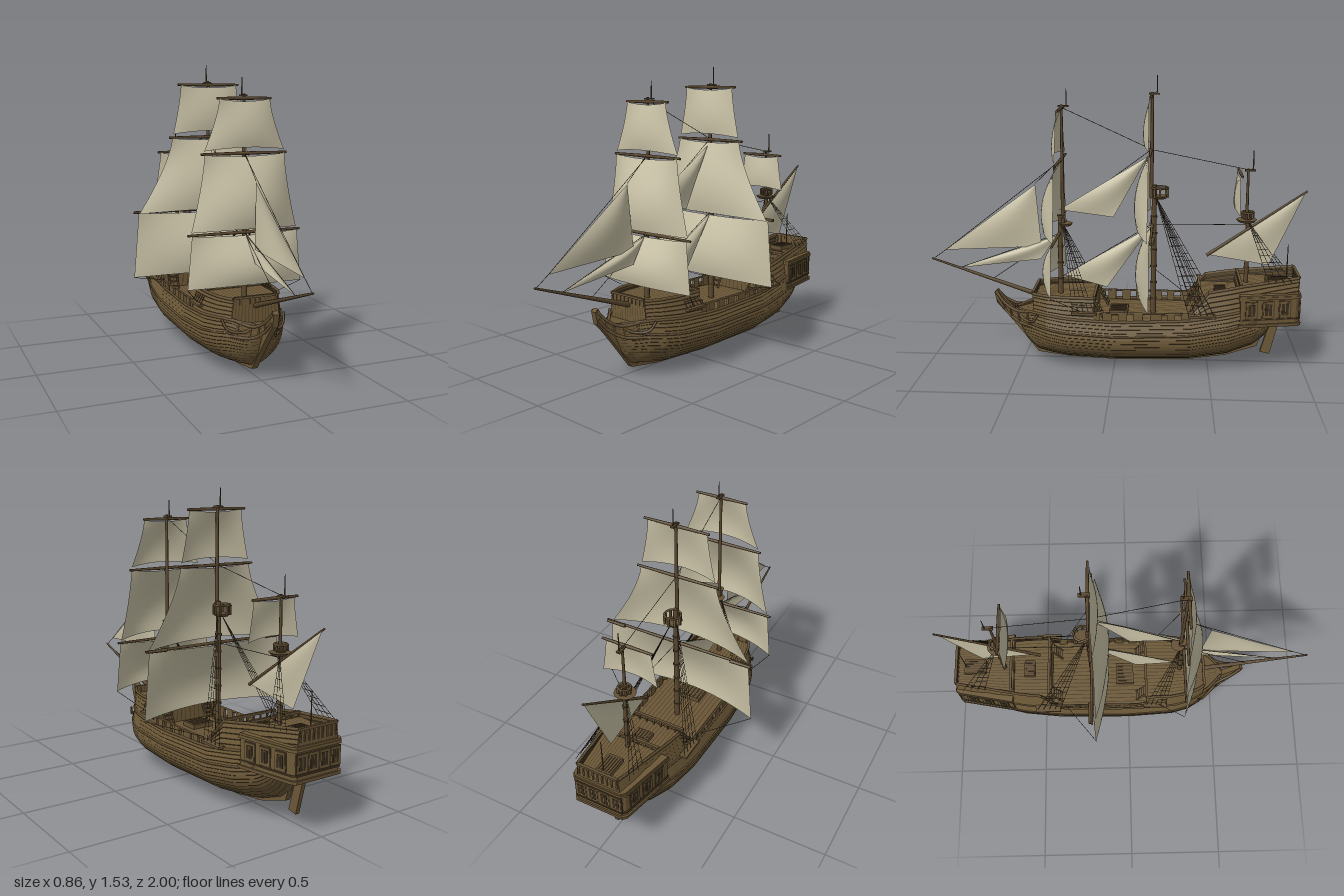
import * as THREE from 'three';
import { mergeGeometries } from 'three/addons/utils/BufferGeometryUtils.js';

const mat = (name, color, side = THREE.DoubleSide) => {
  const m = new THREE.MeshStandardMaterial({ color, side });
  m.name = name;
  return m;
};
const V = (x, y, z) => new THREE.Vector3(x, y, z);
const lerp = THREE.MathUtils.lerp;

// Hull stations: z, keel height, half beam, sheer height
const STATIONS = [
  [-.96, .27, .128, .40], [-.84, .25, .152, .38], [-.80, .16, .162, .37], [-.74, .105, .178, .355],
  [-.6, .05, .207, .33], [-.4, .02, .222, .295], [0, .01, .226, .28], [.25, .02, .214, .29],
  [.35, .035, .19, .30], [.42, .05, .148, .305], [.48, .11, .092, .29], [.52, .19, .045, .285], [.55, .265, .008, .285],
];
const QUARTER_TOP = [[-.96, .51], [-.66, .47], [-.49, .44], [-.40, .33]];
function table(rows, z, col) {
  let i = 0;
  while (i < rows.length - 2 && z > rows[i + 1][0]) i++;
  const a = rows[i], b = rows[i + 1];
  return lerp(a[col], b[col], THREE.MathUtils.clamp((z - a[0]) / (b[0] - a[0]), 0, 1));
}
const keelY = z => table(STATIONS, z, 1), sheerY = z => table(STATIONS, z, 3);
const quarterTop = z => table(QUARTER_TOP, z, 1);
// Plank runs stay level at the bow and end on the stem
const plankBase = z => z > 0 ? Math.min(.05, keelY(z)) : keelY(z);
function halfWidth(z, y) {
  const k = keelY(z), wide = k + .68 * (sheerY(z) - k), b = table(STATIONS, z, 2);
  if (y > wide) return b * (1 - .9 * (y - wide));
  const t = Math.max(0, (y - k) / (wide - k));
  return b * Math.pow(1 - Math.pow(1 - t, 2.4), .8);
}

export function createModel() {
  const ship = new THREE.Group();
  ship.name = 'sailingShip';
  const wood = mat('plank wood', 0x6c5837), seam = mat('seam wood', 0x4c3d27);
  const spar = mat('spar wood', 0x59472e), trim = mat('trim wood', 0x645135);
  const cloth = mat('sail cloth', 0xc6bfa4), hemp = mat('rope', 0x3a3022), glass = mat('window', 0x372d1e);

  function add(name, geo, material, parent = ship) {
    const m = new THREE.Mesh(geo, material);
    m.name = name;
    parent.add(m);
    return m;
  }
  const box = (name, w, h, d, x, y, z, m, parent) => {
    const b = add(name, new THREE.BoxGeometry(w, h, d), m, parent);
    b.position.set(x, y, z);
    return b;
  };
  function bar(a, b, r0, r1 = r0, sides = 4) {
    const d = b.clone().sub(a), g = new THREE.CylinderGeometry(r1, r0, d.length(), sides);
    g.applyQuaternion(new THREE.Quaternion().setFromUnitVectors(V(0, 1, 0), d.normalize()));
    const c = a.clone().add(b).multiplyScalar(.5);
    return g.translate(c.x, c.y, c.z);
  }
  const ropes = (name, pairs, r = .0015) => add(name, mergeGeometries(pairs.map(([a, b]) => bar(a, b, r))), hemp);

  // Rows of planks split by dark seams; P(u along, v across, outward offset)
  function planked(name, P, cols, rows, lap = 0, gap = .15) {
    const parts = [[], []];
    const strip = (out, v0, v1, o0, o1) => {
      for (let i = 0; i < cols; i++) {
        const u = i / cols, w = (i + 1) / cols;
        const a = P(u, v0, o0), b = P(w, v0, o0), c = P(w, v1, o1), d = P(u, v1, o1);
        for (const p of [a, b, c, a, c, d]) out.push(p.x, p.y, p.z);
      }
    };
    for (let j = 0; j < rows; j++) {
      const a = j / rows, m = (j + 1 - gap) / rows, b = (j + 1) / rows;
      strip(parts[0], a, m, lap, 0);
      strip(parts[1], m, b, 0, lap);
    }
    const g = new THREE.Group();
    g.name = name;
    parts.forEach((pos, i) => {
      const geo = new THREE.BufferGeometry();
      geo.setAttribute('position', new THREE.Float32BufferAttribute(pos, 3));
      geo.computeVertexNormals();
      add(name + (i ? 'Seams' : 'Planks'), geo, i ? seam : wood, g);
    });
    ship.add(g);
  }
  // Plate drawn in the z-y plane, centred on x
  function sidePlate(name, pts, thick, m) {
    const g = new THREE.ExtrudeGeometry(new THREE.Shape(pts.map(p => new THREE.Vector2(...p))), { depth: thick, bevelEnabled: false });
    return add(name, g.translate(0, 0, -thick / 2).rotateY(-Math.PI / 2), m);
  }
  const tube = (name, pts, r, m = trim) =>
    add(name, new THREE.TubeGeometry(new THREE.CatmullRomCurve3(pts), 24, r, 5), m);

  // Hull sides, bulwarks and rails
  for (const s of [-1, 1]) {
    const side = (name, z0, z1, low, high, cols, rows) => planked(name, (u, v, o) => {
      const z = lerp(z0, z1, u), y = Math.max(keelY(z), lerp(low(z), high(z), v));
      return V(s * (halfWidth(z, y) + o), y, z);
    }, cols, rows, .003);
    const rail = (name, z0, z1, top, r) => tube(name, Array.from({ length: 16 }, (_, i) => {
      const z = lerp(z0, z1, i / 15), y = top(z);
      return V(s * (halfWidth(z, y) + .002), y, z);
    }), r);
    side('hullSide', -.96, .55, plankBase, sheerY, 100, 14);
    side('forecastleSide', .10, .43, sheerY, () => .40, 12, 5);
    side('quarterSide', -.96, -.40, sheerY, quarterTop, 24, 5);
    rail('sheerWale', -.95, .54, sheerY, .007);
    rail('lowerWale', -.78, .5, z => lerp(keelY(z), sheerY(z), .72), .006);
    rail('forecastleRail', .10, .43, () => .40, .008);
    rail('quarterRail', -.96, -.49, quarterTop, .008);
    rail('quarterRamp', -.49, -.40, quarterTop, .008);
    rail('waistRail', -.40, .10, () => .328, .006);
    // Bulwark blocks between the square waist openings
    for (const [z, d] of [[-.378, .045], [-.30, .04], [-.222, .06], [-.13, .05], [-.05, .045], [.03, .045], [.085, .03]])
      box('waistBlock', .014, .055, d, s * (halfWidth(z, .3) - .003), .302, z, wood);
    // Channels that carry the shrouds
    box('mainChannel', .04, .012, .14, s * .215, .325, -.46, trim);
    box('foreChannel', .035, .012, .13, s * .203, .325, .15, trim);
    // Beakhead cheeks and head rails
    const upper = new THREE.CatmullRomCurve3([V(s * .125, .30, .43), V(s * .06, .285, .53), V(s * .035, .32, .60), V(s * .014, .375, .648)]);
    const lower = new THREE.CatmullRomCurve3([V(s * .135, .22, .43), V(s * .065, .225, .52), V(s * .03, .27, .59), V(s * .014, .33, .64)]);
    planked('beakheadCheek', (u, v) => lower.getPoint(u).lerp(upper.getPoint(u), v), 14, 3);
    for (const c of [upper, lower]) add('headRail', new THREE.TubeGeometry(c, 20, .008, 5), trim);
    for (let i = 0; i < 4; i++) {
      const u = .1 + i * .2;
      add('headTimber', bar(lower.getPoint(u), upper.getPoint(u), .006), trim);
    }
    tube('headVolute', [V(s * .17, .30, .40), V(s * .15, .255, .43), V(s * .09, .25, .49), V(s * .045, .29, .53)], .007);
    // Ladders from the waist to the upper decks
    for (const [z, d, h] of [[-.39, -1, .125], [.05, 1, .10]]) {
      for (let i = 0; i < 5; i++) box('ladderStep', .05, .007, .014, s * .13, .285 + h * i / 5, z + d * i * .01, trim);
      for (const x of [.105, .155]) add('ladderSide', bar(V(s * x, .27, z - d * .005), V(s * x, .27 + h, z + d * .05), .006), trim);
    }
  }

  // Keel with stem, and rudder
  sidePlate('keelAndStem', [[-.82, .25], [-.765, .095], [-.6, .04], [-.4, .01], [0, 0], [.25, .012], [.42, .035], [.51, .15],
    [.59, .25], [.645, .31], [.658, .37], [.64, .385], [.61, .34], [.55, .27], [.47, .15], [.4, .07], [0, .04], [-.6, .08], [-.74, .13], [-.79, .25]], .03, wood);
  sidePlate('rudder', [[-.785, .06], [-.835, .05], [-.885, .25], [-.84, .26]], .022, wood);

  // Decks and cross walls
  const deck = (name, z0, z1, y) => planked(name, (u, v) => {
    const z = lerp(z0, z1, u);
    return V((2 * v - 1) * halfWidth(z, y) * .99, y, z);
  }, 12, 18, 0, .22);
  deck('waistDeck', -.46, .12, .27);
  deck('forecastleDeck', .10, .43, .37);
  deck('beakDeck', .43, .55, .275);
  deck('quarterDeck', -.66, -.44, .395);
  deck('poopDeck', -.96, -.66, .45);
  const wall = (name, z, y0, y1, n = 14) => planked(name, (u, v) => {
    const y = lerp(y0, y1, u);
    return V((2 * v - 1) * halfWidth(z, y), y, z);
  }, 3, n);
  wall('forecastleBackWall', .10, .27, .375);
  wall('forecastleFrontWall', .43, .26, .40);
  wall('quarterWall', -.44, .27, .40);
  wall('poopWall', -.66, .39, .455);
  wall('transom', -.96, .275, .51);
  const crossRail = (z, y, floor) => {
    const w = halfWidth(z, y);
    box('crossRail', 2 * w, .012, .014, 0, y, z, trim);
    for (let i = 0; i < 9; i++) box('railPost', .008, y - floor, .008, w * (i - 4) / 4.2, (y + floor) / 2, z, trim);
  };
  crossRail(.10, .405, .37);
  crossRail(.43, .405, .37);
  crossRail(-.45, .43, .395);
  crossRail(-.66, .475, .45);
  crossRail(-.96, .51, .45);
  for (const [z, y, w, d] of [[-.02, .27, .12, .10], [-.56, .395, .09, .06], [-.86, .45, .08, .12]]) {
    box('hatchCoaming', w, .024, d, 0, y + .012, z, trim);
    for (let i = 0; i < 5; i++) box('hatchGrating', w * .08, .004, d * .85, w * (i - 2) * .18, y + .025, z, seam);
  }

  // Stern gallery wrapping the quarters
  const plan = (name, grow, y, h, m) => {
    const f = .198 + grow, b = .138 + grow, z0 = .655 - grow, z1 = .965 + grow;
    const g = new THREE.ExtrudeGeometry(new THREE.Shape([[-f, z0], [f, z0], [b + .003, z1 - .02], [b - .015, z1], [-b + .015, z1], [-b - .003, z1 - .02]]
      .map(p => new THREE.Vector2(...p))), { depth: h, bevelEnabled: false });
    add(name, g.rotateX(-Math.PI / 2).translate(0, y, 0), m);
  };
  plan('galleryBody', 0, .27, .145, wood);
  plan('gallerySill', .008, .262, .016, trim);
  plan('galleryBelt', .005, .296, .007, seam);
  plan('galleryCornice', .008, .408, .014, wood);
  plan('galleryRoof', .004, .422, .010, wood);
  function windowAt(x, y, z, angle) {
    const g = new THREE.Group();
    g.name = 'sternWindow';
    box('windowSurround', .066, .094, .006, 0, 0, 0, seam, g);
    box('windowFrame', .054, .082, .010, 0, 0, 0, wood, g);
    box('windowPane', .036, .062, .014, 0, 0, 0, glass, g);
    box('windowBar', .005, .062, .017, 0, 0, 0, wood, g);
    g.position.set(x, y, z);
    g.rotation.y = angle;
    ship.add(g);
  }
  for (const s of [-1, 1]) for (const t of [.2, .5, .8])
    windowAt(s * lerp(.198, .142, t), .353, lerp(-.655, -.945, t), s * Math.atan2(.29, -.056));
  for (const x of [-.099, -.033, .033, .099]) windowAt(x, .353, -.966, Math.PI);
  add('flagStaff', bar(V(0, .45, -.91), V(0, .66, -.912), .004, .002, 6), spar);

  // Masts: lower and upper poles, top platform, head cap
  function mast(name, z, foot, mid, head, tip, r, zUp) {
    const g = new THREE.Group();
    g.name = name;
    ship.add(g);
    add('lowerMast', bar(V(0, foot, z), V(0, mid, z), r, r * .85, 10), spar, g);
    add('upperMast', bar(V(0, mid - .07, zUp), V(0, head, zUp), r * .75, r * .5, 8), spar, g);
    add('mastPole', bar(V(0, head - .01, zUp - .025), V(0, tip, zUp - .025), .004, .002, 6), spar, g);
    box('mastCap', .02, .008, .055, 0, head - .008, zUp - .01, spar, g);
    for (let y = foot + .08; y < mid - .1; y += .09)
      add('mastBand', new THREE.CylinderGeometry(r * 1.2, r * 1.2, .01, 10).translate(0, y, z), seam, g);
    return g;
  }
  const fore = mast('foreMast', .295, .37, .80, 1.385, 1.465, .014, .28);
  const main = mast('mainMast', -.205, .27, .97, 1.45, 1.535, .015, -.19);
  const mizzen = mast('mizzenMast', -.697, .45, .83, 1.06, 1.155, .012, -.69);
  function platform(parent, z, y, r, h) {
    add('topFloor', new THREE.CylinderGeometry(r, r * .75, .014, 12).translate(0, y, z), trim, parent);
    if (!h) return;
    add('topRim', new THREE.TorusGeometry(r, .006, 5, 16).rotateX(Math.PI / 2).translate(0, y + h, z), trim, parent);
    for (let i = 0; i < 8; i++) {
      const a = i * Math.PI / 4;
      box('topPost', .01, h, .01, r * Math.cos(a), y + h / 2, z + r * Math.sin(a), trim, parent);
    }
  }
  platform(fore, .265, .752, .038, 0);
  platform(fore, .29, .795, .022, 0);
  platform(main, -.235, .905, .042, .05);
  platform(mizzen, -.69, .785, .055, 0);
  platform(mizzen, -.695, .80, .03, .03);

  // Sails
  function sail(name, P, nu, nv) {
    const g = new THREE.PlaneGeometry(1, 1, nu, nv), p = g.attributes.position;
    for (let i = 0; i < p.count; i++) {
      const q = P(p.getX(i) + .5, .5 - p.getY(i));
      p.setXYZ(i, q.x, q.y, q.z);
    }
    g.computeVertexNormals();
    add(name, g, cloth);
  }
  // Square sail with sagging head, arched foot and its yard
  function squareSail(name, z, yTop, yBot, wTop, wBot, bulge, yard, curve) {
    sail(name, (u, v) => {
      const s = 2 * u - 1, c = 1 - s * s, w = lerp(wTop, wBot, Math.pow(v, curve));
      const y = lerp(yTop, yBot, v) + c * (.016 * v * v - .012 * (1 - v) ** 2);
      return V(s * w, y, z + .008 + bulge * Math.sin(.66 * Math.PI * v) * c);
    }, 16, 10);
    for (const s of [-1, 1]) add(name + 'Yard', bar(V(0, yTop + .003, z), V(s * yard, yTop + .003, z), .009, .006, 8), spar);
  }
  squareSail('foreTopgallant', .285, 1.36, 1.11, .135, .215, .038, .145, 1.4);
  squareSail('foreTopsail', .29, 1.092, .715, .215, .285, .095, .23, 1.4);
  squareSail('foreCourse', .30, .70, .435, .285, .31, .08, .305, 1);
  squareSail('mainTopgallant', -.185, 1.427, 1.17, .16, .205, .033, .175, 1.4);
  squareSail('mainTopsail', -.185, 1.148, .75, .21, .40, .078, .225, 1.4);
  squareSail('mainCourse', -.195, .752, .405, .40, .43, .08, .425, 1);
  squareSail('mizzenTopsail', -.65, 1.035, .84, .12, .15, .022, .135, 1.2);
  for (const s of [-1, 1]) // thickened arms of the main yard
    add('yardArm', bar(V(s * .31, .755, -.205), V(s * .42, .755, -.205), .009, .007, 8), spar);

  function staySail(name, head, tack, clew, belly = .02) {
    sail(name, (u, v) => {
      const p = head.clone().lerp(tack.clone().lerp(clew, u), v);
      p.x += belly * Math.sin(Math.PI * u) * Math.sin(Math.PI * v);
      return p;
    }, 8, 8);
  }
  staySail('outerJib', V(0, .965, .425), V(0, .60, .92), V(.01, .63, .395));
  staySail('innerJib', V(0, .69, .31), V(0, .50, .85), V(.01, .56, .40));
  staySail('upperStaysail', V(0, 1.12, -.17), V(0, .83, .30), V(.01, .795, .01));
  staySail('lowerStaysail', V(0, .75, -.195), V(0, .47, .28), V(.01, .41, .045));
  staySail('lateenSail', V(.018, .94, -.985), V(.018, .60, -.50), V(.018, .55, -.81), .012);
  add('lateenYard', bar(V(.015, .598, -.485), V(.015, .948, -.995), .009, .005, 8), spar);
  add('bowsprit', bar(V(0, .35, .40), V(0, .552, .998), .014, .005, 8), spar);

  // Standing rigging and sheets
  ropes('stays', [
    [V(0, 1.37, .28), V(0, 1.155, -.19)], [V(0, 1.155, -.19), V(0, 1.055, -.69)], [V(0, .755, -.2), V(0, .765, -.71)],
    [V(0, 1.10, .28), V(0, .60, .92)], [V(0, .60, .92), V(0, .55, .99)], [V(0, .70, .30), V(0, .50, .85)],
    [V(0, .69, .31), V(0, .44, .67)], [V(0, .97, .425), V(0, 1.1, .29)], [V(0, 1.15, -.18), V(0, .80, .29)], [V(0, .76, -.195), V(0, .46, .29)],
  ]);
  ropes('sheets', [-1, 1].flatMap(s => [
    [V(s * .43, .405, -.185), V(s * .20, .335, -.36)], [V(s * .31, .435, .31), V(s * .205, .335, .17)],
  ]));
  // Shrouds with ratlines
  function shrouds(name, top, x, y, z0, z1, n = 5, rungs = 11) {
    for (const s of [-1, 1]) {
      const head = V(s * .012, top.y, top.z);
      const at = (i, t) => V(s * x, y, lerp(z0, z1, i / (n - 1))).lerp(head, t);
      const pairs = [];
      for (let i = 0; i < n; i++) pairs.push([at(i, 0), at(i, 1)]);
      for (let k = 1; k < rungs; k++) pairs.push([at(0, k / (rungs + 1)), at(n - 1, k / (rungs + 1))]);
      ropes(name, pairs, .0013);
    }
  }
  shrouds('foreShrouds', V(0, .75, .28), .205, .33, .21, .10);
  shrouds('mainShrouds', V(0, .90, -.215), .22, .33, -.39, -.52);
  shrouds('mizzenShrouds', V(0, .78, -.70), .15, .49, -.80, -.92, 4, 8);

  return ship;
}
